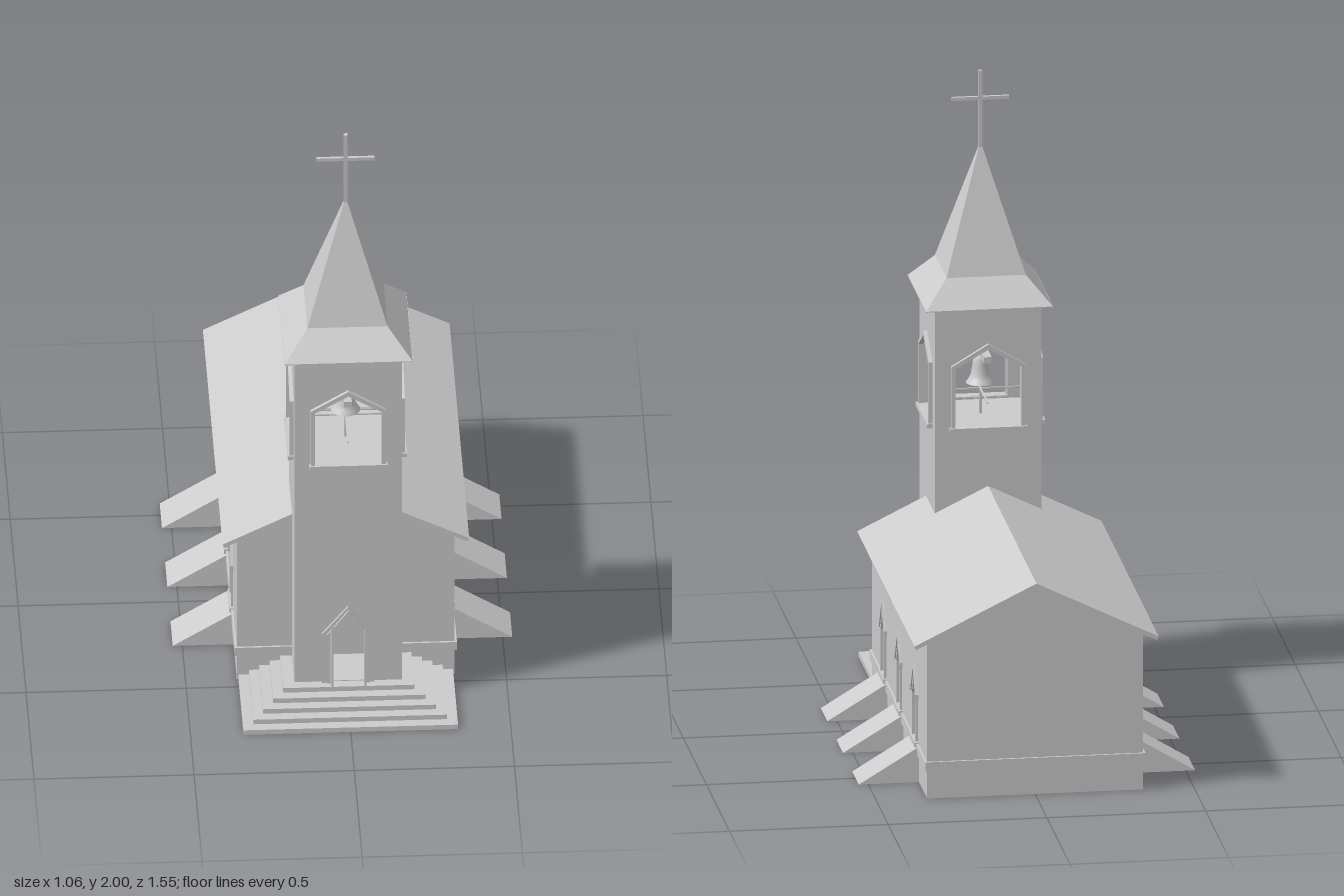
import * as THREE from 'three';

const material = new THREE.MeshStandardMaterial({ color: 0xcccccc, flatShading: true, side: THREE.DoubleSide });
const smooth = new THREE.MeshStandardMaterial({ color: 0xcccccc, side: THREE.DoubleSide });

function add(parent, name, geometry, x = 0, y = 0, z = 0, mat = material) {
  const mesh = new THREE.Mesh(geometry, mat);
  mesh.name = name;
  mesh.position.set(x, y, z);
  parent.add(mesh);
  return mesh;
}
// Box given by its limits
function box(parent, name, x0, x1, y0, y1, z0, z1) {
  return add(parent, name, new THREE.BoxGeometry(x1 - x0, y1 - y0, z1 - z0), (x0 + x1) / 2, (y0 + y1) / 2, (z0 + z1) / 2);
}
function group(parent, name, x = 0, y = 0, z = 0, turn = 0) {
  const g = new THREE.Group();
  g.name = name;
  g.position.set(x, y, z);
  g.rotation.y = turn;
  parent.add(g);
  return g;
}
const polygon = (points) => new THREE.Shape(points.map(([x, y]) => new THREE.Vector2(x, y)));
const extrude = (shape, depth) => new THREE.ExtrudeGeometry(shape, { depth, bevelEnabled: false });
// Upright opening with a pointed head
const pointed = (half, base, spring, peak, cx = 0) => polygon([
  [cx - half, base], [cx + half, base], [cx + half, spring], [cx, peak], [cx - half, spring]]);
function frame(outer, inner, depth) {
  outer.holes.push(inner);
  return extrude(outer, depth);
}

const NAVE = { x: 0.34, front: 0.455, back: -0.745, eave: 0.515, ridge: 0.682 };
const TOWER = { half: 0.168, z: 0.442, top: 1.285, wall: 0.022 };
const BAYS = [0.183, -0.157, -0.497];

function buildNave(root) {
  const nave = group(root, 'nave');
  const { x, front, back, eave, ridge } = NAVE;
  // End walls
  const gable = () => extrude(polygon([[-x, 0], [x, 0], [x, eave], [0, ridge], [-x, eave]]), 0.02);
  add(nave, 'frontGable', gable(), 0, 0, front - 0.02);
  add(nave, 'backGable', gable(), 0, 0, back);
  box(nave, 'floor', -x + 0.005, x - 0.005, 0.065, 0.08, back + 0.005, front - 0.005);

  // Roof slabs in one folded section
  const t = 0.016;
  add(nave, 'roof', extrude(polygon([
    [-0.385, 0.506], [0, 0.695], [0.385, 0.506], [0.38, 0.494], [0, 0.695 - t], [-0.38, 0.494]]), 1.24), 0, 0, -0.775);

  for (const side of [1, -1]) {
    // In each side's own frame z points outward and x runs along the wall
    const wall = group(nave, side > 0 ? 'leftSide' : 'rightSide', side * x, 0, 0, side * Math.PI / 2);
    const along = (z) => -side * z;
    const a = Math.min(along(front), along(back)), b = Math.max(along(front), along(back));
    const shape = polygon([[a, 0], [b, 0], [b, eave], [a, eave]]);
    for (const z of BAYS) shape.holes.push(pointed(0.036, 0.125, 0.26, 0.33, along(z)));
    add(wall, 'sideWall', extrude(shape, 0.022), 0, 0, -0.022);
    for (const z of BAYS) {
      const c = along(z);
      add(wall, 'windowFrame', frame(pointed(0.045, 0.12, 0.268, 0.348), pointed(0.034, 0.125, 0.262, 0.33), 0.007), c);
      box(wall, 'windowPane', c - 0.04, c + 0.04, 0.115, 0.34, -0.03, -0.022);
      box(wall, 'windowMullion', c - 0.003, c + 0.003, 0.12, 0.325, -0.022, -0.015);
      // Drip moulding over the window head
      add(wall, 'windowHood', extrude(polygon([
        [0.056, 0.262], [0.056, 0.28], [0, 0.37], [-0.056, 0.28], [-0.056, 0.262], [0, 0.352]]), 0.01), c);
      // Sloping buttress below the window
      const buttress = add(wall, 'buttress', extrude(polygon([[0, 0], [0.19, 0], [0.005, 0.112], [0, 0.112]]), 0.142), c + 0.071);
      buttress.rotation.y = -Math.PI / 2;
      box(wall, 'windowSill', c - 0.058, c + 0.058, 0.108, 0.124, -0.005, 0.012);
    }
    box(wall, 'plinthBand', a - 0.006, b + 0.006, 0.09, 0.12, -0.01, 0.007);
  }
  box(nave, 'backPlinthBand', -x - 0.007, x + 0.007, 0.09, 0.12, back - 0.007, back + 0.01);
  for (const s of [1, -1]) {
    const near = s * TOWER.half, far = s * (x + 0.007);
    box(nave, 'frontPlinthBand', Math.min(near, far), Math.max(near, far), 0.09, 0.12, front - 0.01, front + 0.007);
  }
}

function buildTower(root) {
  const tower = group(root, 'tower', 0, 0, TOWER.z);
  const { half, top, wall } = TOWER;
  // Four walls, each with a belfry opening
  for (let i = 0; i < 4; i++) {
    const face = group(tower, 'towerSide', 0, 0, 0, i * Math.PI / 2);
    const shape = polygon([[-half, 0], [half, 0], [half, top], [-half, top]]);
    shape.holes.push(pointed(0.106, 0.888, 1.085, 1.145));
    if (i === 0) shape.holes.push(pointed(0.053, 0.085, 0.262, 0.335));
    add(face, 'towerWall', extrude(shape, wall), 0, 0, half - wall);
    add(face, 'belfryFrame', frame(pointed(0.117, 0.88, 1.09, 1.16), pointed(0.104, 0.89, 1.083, 1.143), 0.014), 0, 0, half - 0.002);
    box(face, 'belfrySill', -0.122, 0.122, 0.876, 0.89, half - 0.02, half + 0.018);
  }
  const inner = half - 0.005;
  box(tower, 'belfryFloor', -inner, inner, 0.865, 0.882, -inner, inner);
  box(tower, 'belfryCeiling', -inner, inner, 1.27, 1.283, -inner, inner);

  // Crossed beams, thin rails and the bell
  for (const turn of [0, Math.PI / 2]) {
    const cross = group(tower, 'belfryBeams', 0, 0, 0, turn);
    box(cross, 'bellBeam', -inner, inner, 1.093, 1.113, -0.012, 0.012);
    box(cross, 'belfryRail', -inner, inner, 0.96, 0.965, -0.0025, 0.0025);
  }
  box(tower, 'railPost', -0.004, 0.004, 0.88, 0.963, -0.004, 0.004);
  const profile = [[0.001, 1.075], [0.016, 1.073], [0.023, 1.062], [0.025, 1.04], [0.03, 1.01], [0.037, 0.995], [0.046, 0.983], [0.043, 0.983], [0.025, 1.01], [0.018, 1.06], [0.001, 1.066]];
  add(tower, 'bell', new THREE.LatheGeometry(profile.map(([r, y]) => new THREE.Vector2(r, y)), 24), 0, 0, 0, smooth);
  add(tower, 'bellHanger', new THREE.CylinderGeometry(0.007, 0.007, 0.03, 10), 0, 1.084, 0, smooth);
  add(tower, 'bellClapper', new THREE.SphereGeometry(0.009, 12, 8), 0, 0.985, 0, smooth);

  // Spire with a flared foot: square cross-sections up to the tip
  const square = (r0, r1, y0, y1) => {
    const g = new THREE.CylinderGeometry(r1 * Math.SQRT2, r0 * Math.SQRT2, y1 - y0, 4, 1, true);
    return g.rotateY(Math.PI / 4).translate(0, (y0 + y1) / 2, 0);
  };
  add(tower, 'spireFlare', square(0.2, 0.125, 1.28, 1.365));
  add(tower, 'spire', square(0.125, 0.003, 1.365, 1.76));
  add(tower, 'spireSoffit', frame(
    polygon([[-0.2, -0.2], [0.2, -0.2], [0.2, 0.2], [-0.2, 0.2]]),
    polygon([[-0.15, -0.15], [0.15, -0.15], [0.15, 0.15], [-0.15, 0.15]]), 0.003).rotateX(-Math.PI / 2), 0, 1.278);
  box(tower, 'crossPost', -0.006, 0.006, 1.73, 2, -0.006, 0.006);
  box(tower, 'crossBar', -0.09, 0.09, 1.904, 1.915, -0.005, 0.005);

  // Stepped door surround and two opened leaves
  add(tower, 'doorFrameOuter', frame(pointed(0.082, 0.08, 0.262, 0.362), pointed(0.066, 0.08, 0.262, 0.348), 0.008), 0, 0, half);
  add(tower, 'doorFrameInner', frame(pointed(0.067, 0.08, 0.262, 0.349), pointed(0.053, 0.08, 0.262, 0.335), 0.014), 0, 0, half);
  for (const s of [1, -1]) {
    const leaf = extrude(polygon([[0, 0.09], [0.055, 0.09], [0.055, 0.325], [0, 0.255]]), 0.006);
    add(tower, 'doorLeaf', leaf, s * 0.052 + 0.003, 0, half).rotation.y = -Math.PI / 2;
  }
}

function buildSteps(root) {
  const steps = group(root, 'steps');
  for (let i = 0; i < 5; i++) {
    const w = 0.335 - i * 0.0325;
    box(steps, 'step', -w, w, i * 0.0165, (i + 1) * 0.0165, 0.44, 0.777 - i * 0.0335);
  }
}

export function createModel() {
  const church = new THREE.Group();
  church.name = 'church';
  buildNave(church);
  buildTower(church);
  buildSteps(church);
  return church;
}
